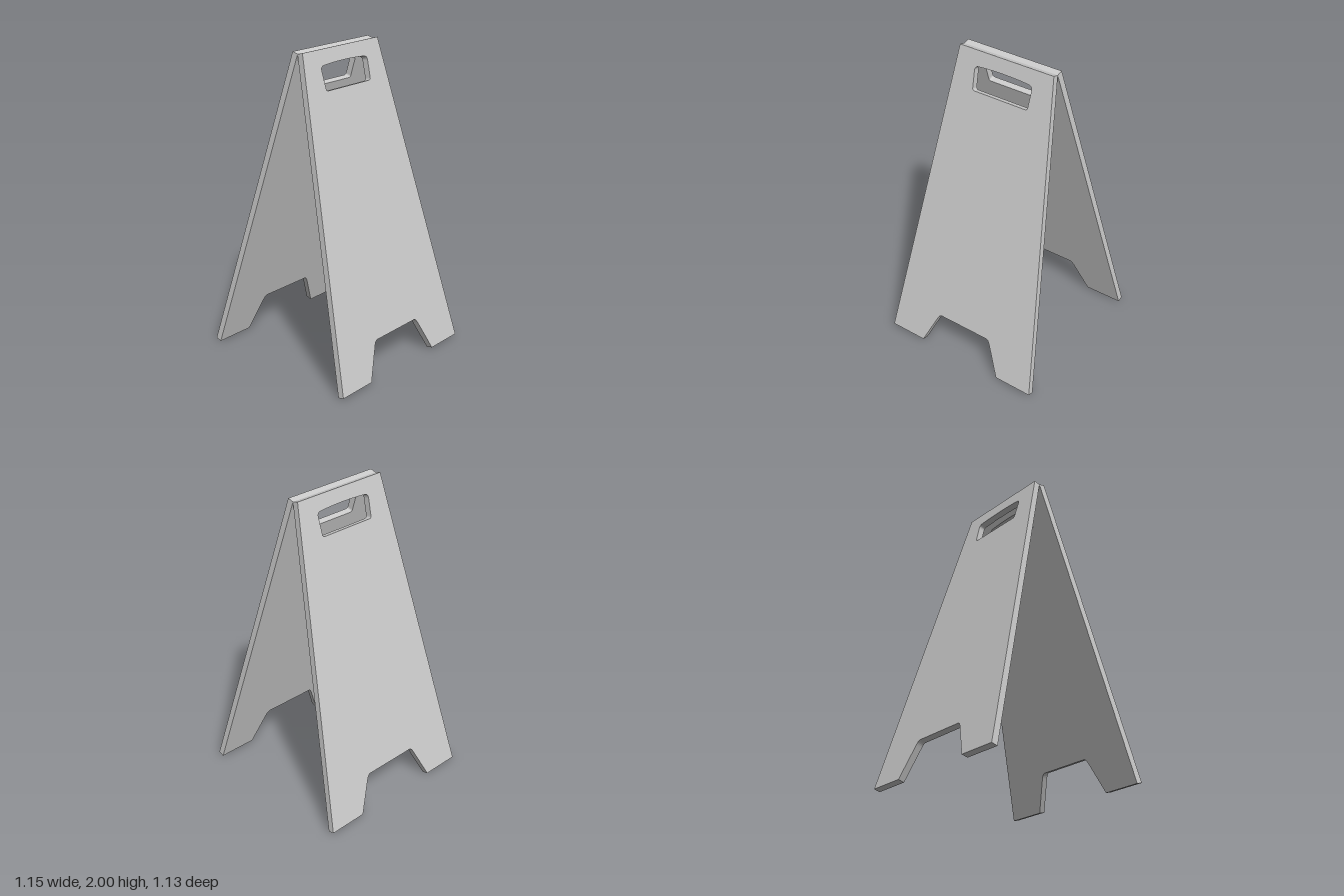
import * as THREE from 'three';

const LENGTH = 2.06, THICKNESS = 0.042, TILT = 0.263, FOOT_X = 0.535;

// Tapered board with a foot cut-out and a rounded hand slot
function panelGeometry() {
  const s = new THREE.Shape();
  s.moveTo(-0.565, 0);
  s.lineTo(-0.305, 0);
  s.lineTo(-0.214, 0.205);
  s.quadraticCurveTo(-0.2, 0.237, -0.183, 0.237);
  s.lineTo(0.183, 0.237);
  s.quadraticCurveTo(0.2, 0.237, 0.214, 0.205);
  s.lineTo(0.305, 0);
  s.lineTo(0.565, 0);
  s.lineTo(0.337, LENGTH);
  s.lineTo(-0.337, LENGTH);
  s.closePath();

  const h = new THREE.Path();
  h.moveTo(-0.185, 1.81);
  h.quadraticCurveTo(-0.2, 1.81, -0.201, 1.825);
  h.lineTo(-0.207, 1.935);
  h.quadraticCurveTo(-0.207, 1.961, -0.18, 1.963);
  h.quadraticCurveTo(0, 1.977, 0.18, 1.963);
  h.quadraticCurveTo(0.207, 1.961, 0.207, 1.935);
  h.lineTo(0.201, 1.825);
  h.quadraticCurveTo(0.2, 1.81, 0.185, 1.81);
  h.closePath();
  s.holes.push(h);

  const g = new THREE.ExtrudeGeometry(s, { depth: THICKNESS, bevelEnabled: false, curveSegments: 6 });
  // Face +x, lean the top inward, then stand on the inner bottom edge
  return g.rotateY(Math.PI / 2).rotateZ(TILT).translate(FOOT_X, 0, 0);
}

export function createModel() {
  const model = new THREE.Group();
  model.name = 'foldingFloorSign';
  const material = new THREE.MeshStandardMaterial({ color: 0xcccccc });
  const geometry = panelGeometry();

  // Two identical boards meeting at the ridge
  ['leftPanel', 'rightPanel'].forEach((name, i) => {
    const panel = new THREE.Mesh(geometry, material);
    panel.name = name;
    panel.rotation.y = i * Math.PI;
    model.add(panel);
  });
  return model;
}
